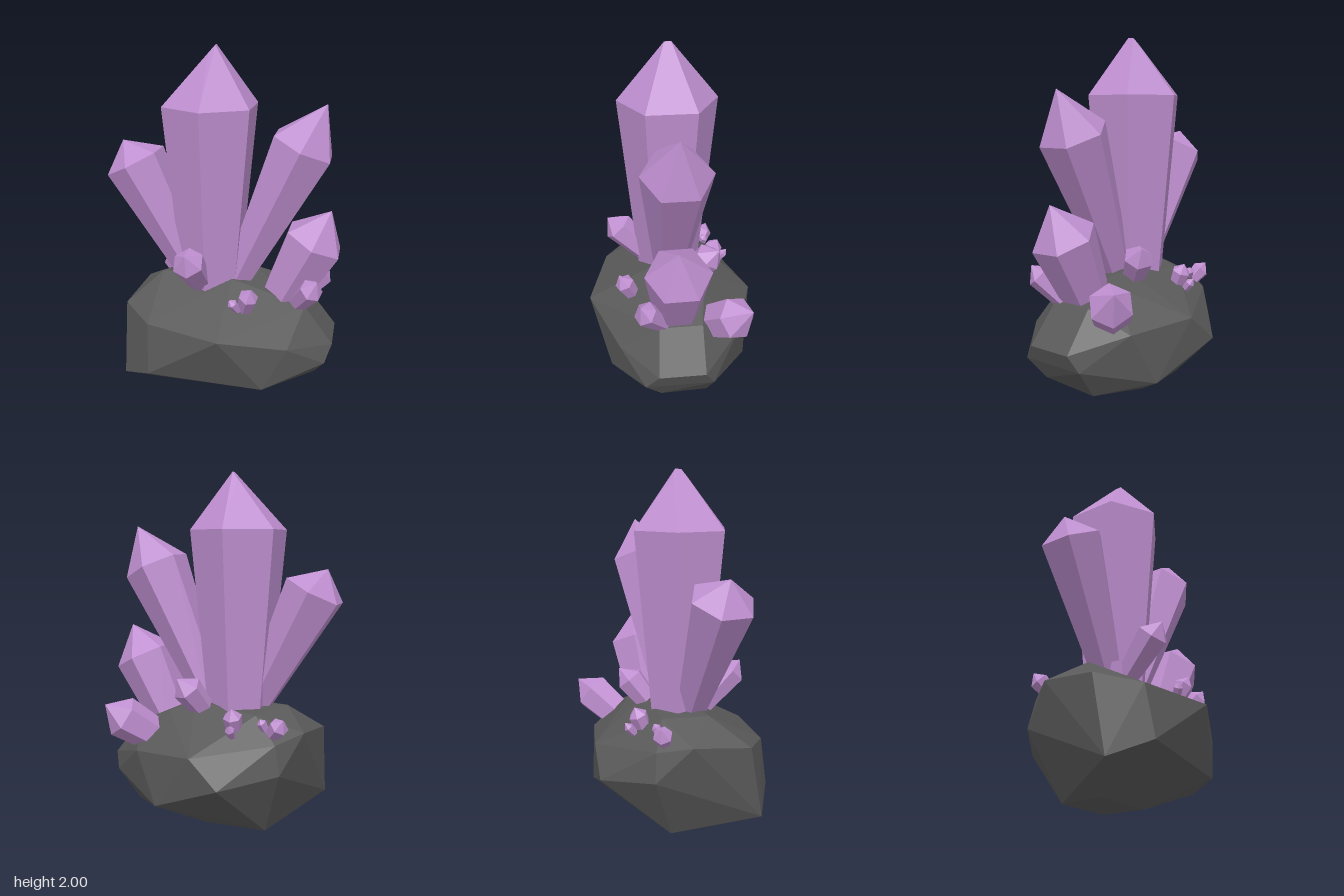
import * as THREE from 'three';
import { ConvexGeometry } from 'three/addons/geometries/ConvexGeometry.js';

const V = (a) => new THREE.Vector3(...a);

// Six points around a centre, in the plane across the axis
function ring(centre, axis, radius) {
  const u = new THREE.Vector3(0, 0, 1).addScaledVector(axis, -axis.z).normalize();
  const v = axis.clone().cross(u);
  return Array.from({ length: 6 }, (_, i) => {
    const a = (i * Math.PI) / 3;
    return centre.clone()
      .addScaledVector(u, radius * Math.cos(a))
      .addScaledVector(v, radius * Math.sin(a));
  });
}

// Hexagonal shard that widens from its base to a shoulder, then closes to a tip
function crystalGeometry(base, baseRadius, shoulder, radius, tipPoints) {
  const b = V(base), s = V(shoulder);
  const axis = s.clone().sub(b).normalize();
  return new ConvexGeometry([...ring(b, axis, baseRadius), ...ring(s, axis, radius), ...tipPoints]);
}

export function createModel() {
  const group = new THREE.Group();
  const stone = new THREE.MeshStandardMaterial({ color: 0x595959 });
  stone.name = 'darkStone';
  const purple = new THREE.MeshStandardMaterial({ color: 0xbf8fd0 });
  purple.name = 'purpleCrystal';

  const add = (name, geometry, material) => {
    const mesh = new THREE.Mesh(geometry, material);
    mesh.name = name;
    group.add(mesh);
  };

  // Faceted boulder: bottom, lower belt, upper belt, top
  const rockPoints = [
    [-0.33, 0, 0.11], [-0.3, 0, -0.15], [0.05, 0, 0.11], [0.05, 0, -0.15],
    [-0.55, 0.12, 0.29], [-0.36, 0.22, 0.44], [0.28, 0.165, 0.39], [0.55, 0.16, 0.12],
    [0.48, 0.1, -0.15], [0.26, 0.165, -0.405], [0.61, 0.27, 0.21], [0.61, 0.27, -0.17],
    [0.645, 0.36, 0.14], [0.645, 0.36, -0.12], [-0.14, 0.33, -0.505], [-0.42, 0.38, -0.3],
    [0.05, 0.49, 0.5], [-0.37, 0.505, 0.39], [-0.55, 0.54, 0.21], [0.41, 0.4, 0.34],
    [0.03, 0.48, -0.47], [0.4, 0.45, -0.34], [-0.51, 0.58, -0.12], [-0.39, 0.54, -0.28],
    [0.48, 0.57, 0.12], [0.48, 0.57, -0.12], [-0.37, 0.69, 0.05], [0.06, 0.7, 0.12],
    [0.14, 0.71, -0.1], [-0.25, 0.67, -0.18], [0.28, 0.65, -0.15],
  ].map(V);
  add('rock', new ConvexGeometry(rockPoints), stone);

  // Central crystal with a small slanted facet cut across its tip
  const cut = ring(V([-0.085, 1.96, 0.015]), new THREE.Vector3(0, 1, 0), 0.037);
  cut.forEach((p) => { p.y += 1.2 * (p.x + 0.085); });
  add('centralCrystal',
    crystalGeometry([-0.085, 0.6, 0.015], 0.175, [-0.085, 1.68, 0.015], 0.277, cut), purple);

  // Name, base, base radius, shoulder, shoulder radius, tip
  const crystals = [
    ['leftTallCrystal', [0.06, 0.65, 0.02], 0.085, [0.43, 1.475, 0.02], 0.19, [0.55, 1.705, 0.02]],
    ['rightTallCrystal', [-0.165, 0.65, 0.035], 0.085, [-0.52, 1.35, 0.035], 0.18, [-0.59, 1.467, 0.035]],
    ['leftMiddleCrystal', [0.33, 0.56, 0.01], 0.13, [0.512, 0.938, 0.02], 0.18, [0.6, 1.12, 0.03]],
    ['backLeftCrystal', [0.36, 0.5, -0.18], 0.1, [0.51, 0.63, -0.3], 0.12, [0.575, 0.71, -0.375]],
    ['backCrystal', [0.08, 0.65, -0.1], 0.065, [0.15, 0.8, -0.2], 0.085, [0.19, 0.86, -0.25]],
    ['frontCrystal', [-0.12, 0.62, 0.08], 0.06, [-0.15, 0.86, 0.31], 0.092, [-0.155, 0.92, 0.37]],
    ['frontLeftShard', [0.42, 0.55, 0.08], 0.05, [0.52, 0.71, 0.2], 0.068, [0.55, 0.77, 0.225]],
    ['frontSmallShard', [0.15, 0.56, 0.24], 0.04, [0.185, 0.68, 0.295], 0.056, [0.2, 0.73, 0.32]],
    ['frontTinyShard', [0.13, 0.57, 0.27], 0.02, [0.095, 0.64, 0.31], 0.028, [0.08, 0.66, 0.32]],
    ['backSmallShard', [-0.15, 0.56, -0.23], 0.04, [-0.15, 0.68, -0.28], 0.054, [-0.15, 0.725, -0.3]],
    ['backTinyShard', [-0.155, 0.55, -0.28], 0.02, [-0.155, 0.62, -0.34], 0.027, [-0.155, 0.645, -0.36]],
    ['backRightShard', [-0.35, 0.57, -0.21], 0.04, [-0.405, 0.64, -0.25], 0.054, [-0.43, 0.68, -0.27]],
    ['backRightTinyShard', [-0.33, 0.58, -0.21], 0.02, [-0.3, 0.65, -0.24], 0.027, [-0.295, 0.67, -0.25]],
  ];
  for (const [name, base, baseRadius, shoulder, radius, tip] of crystals) {
    add(name, crystalGeometry(base, baseRadius, shoulder, radius, [V(tip)]), purple);
  }

  return group;
}
